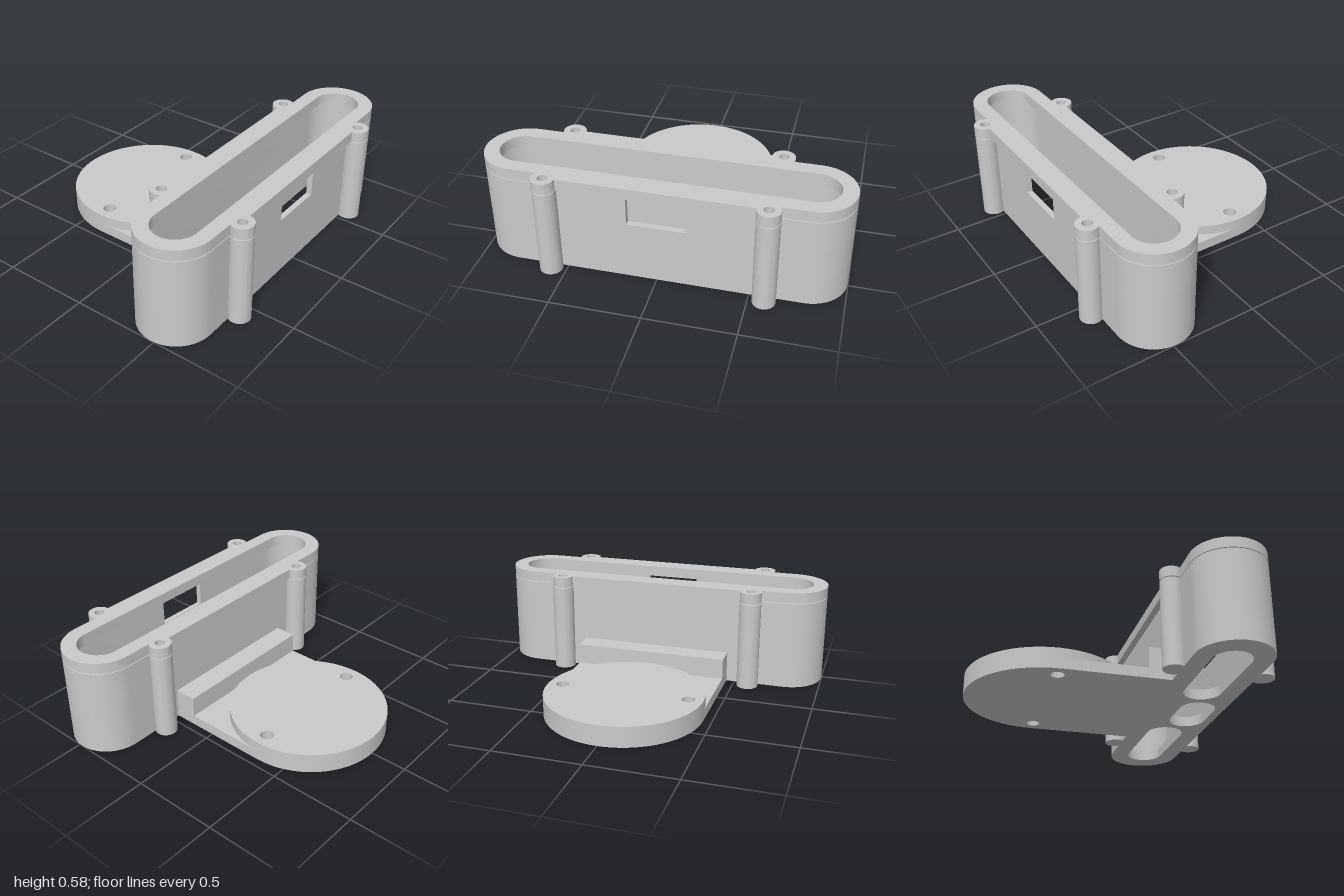
import * as THREE from 'three';
import { toCreasedNormals } from 'three/addons/utils/BufferGeometryUtils.js';

const BODY_Z = 0.48;    // centre line of the long housing
const DISC_Z = -0.338;  // centre of the round mounting disc
const END = 0.212;      // half width of the housing
const INNER = 0.18;     // half width of the cavity
const POST = { x: 0.585, y: 0.247, r: 0.063 };
const PI = Math.PI;

// Points along an arc
function arc(cx, cy, r, a0, a1) {
  const n = Math.max(8, Math.ceil(Math.abs(a1 - a0) / (PI / 32)));
  return Array.from({ length: n + 1 }, (_, i) => {
    const a = a0 + ((a1 - a0) * i) / n;
    return new THREE.Vector2(cx + r * Math.cos(a), cy + r * Math.sin(a));
  });
}

const circle = (x, y, r) => arc(x, y, r, 0, 2 * PI).slice(0, -1);

// Round-ended slot from x0 to x1
const slot = (x0, x1, y, r) => [
  ...arc(x1 - r, y, r, -PI / 2, PI / 2),
  ...arc(x0 + r, y, r, PI / 2, 1.5 * PI),
];

// Long slot with four screw posts; webbed fills the gap between the posts
function housingOutline(webbed) {
  const { x, y, r } = POST;
  const a = Math.asin((y - END) / r);
  const b = webbed ? 0 : a;
  return [
    ...arc(x, -y, r, PI - b, 2 * PI + a),
    ...arc(1 - END, 0, END, -PI / 2, PI / 2),
    ...arc(x, y, r, -a, PI + b),
    ...arc(-x, y, r, -b, PI + a),
    ...arc(-1 + END, 0, END, PI / 2, 1.5 * PI),
    ...arc(-x, -y, r, PI - a, 2 * PI + b),
  ];
}

export function createModel() {
  const model = new THREE.Group();
  model.name = 'sensorHousing';
  const grey = new THREE.MeshStandardMaterial({ color: 0xcacaca });
  grey.name = 'grey plastic';

  // Upright slab from y0 to y1 with a plan outline and holes
  function slab(name, outline, holes, y0, y1, z) {
    const shape = new THREE.Shape(outline);
    shape.holes = holes.map((h) => new THREE.Path(h));
    let geo = new THREE.ExtrudeGeometry(shape, { depth: y1 - y0, bevelEnabled: false });
    geo.rotateX(-PI / 2);
    geo = toCreasedNormals(geo, 0.5);
    const mesh = new THREE.Mesh(geo, grey);
    mesh.name = name;
    mesh.position.set(0, y0, z);
    model.add(mesh);
  }

  const outline = housingOutline(false);
  const cavityEnd = 1 - END + INNER;
  const screwHoles = [];
  for (const sx of [-1, 1])
    for (const sy of [-1, 1]) screwHoles.push(circle(sx * POST.x, sy * POST.y, 0.028));

  // Floor with three slots
  slab('housingFloor', outline, [
    slot(-0.875, -0.231, 0, 0.107),
    slot(0.231, 0.875, 0, 0.107),
    slot(-0.193, 0.193, -0.057, 0.103),
  ], 0, 0.06, BODY_Z);

  // Lower walls, closed all round
  slab('lowerWalls', outline, [slot(-cavityEnd, cavityEnd, 0, INNER)], 0.06, 0.34, BODY_Z);

  // Upper walls, open at the front window
  const w = 0.158;
  const openRing = [
    new THREE.Vector2(w, -END),
    ...outline,
    new THREE.Vector2(-w, -END),
    new THREE.Vector2(-w, -INNER),
    ...arc(-1 + END, 0, INNER, 1.5 * PI, PI / 2),
    ...arc(1 - END, 0, INNER, PI / 2, -PI / 2),
    new THREE.Vector2(w, -INNER),
  ];
  slab('upperWalls', openRing, screwHoles, 0.34, 0.518, BODY_Z);

  // Separate rim plate with a narrower opening, just above the walls
  slab('rimPlate', housingOutline(true),
    [slot(-0.917, 0.917, 0, 0.127), ...screwHoles], 0.523, 0.585, BODY_Z);

  // Rear tongue and raised disc with two screw holes
  const R = 0.452;
  const discHoles = [-0.368, 0.368].map((x) => circle(x, 0, 0.038));
  const wallZ = BODY_Z - END;
  slab('rearTongue', [
    new THREE.Vector2(-R, DISC_Z - wallZ),
    new THREE.Vector2(R, DISC_Z - wallZ),
    ...arc(0, 0, R, 0, PI),
  ], discHoles, 0, 0.06, DISC_Z);
  slab('mountingDisc', circle(0, 0, R), discHoles, 0.06, 0.118, DISC_Z);

  // Stiffening rib against the back wall
  const ribZ = 0.14;
  const rib = new THREE.Mesh(new THREE.BoxGeometry(2 * R, 0.12, wallZ - ribZ), grey);
  rib.name = 'rearRib';
  rib.position.set(0, 0.12, (wallZ + ribZ) / 2);
  model.add(rib);

  return model;
}
